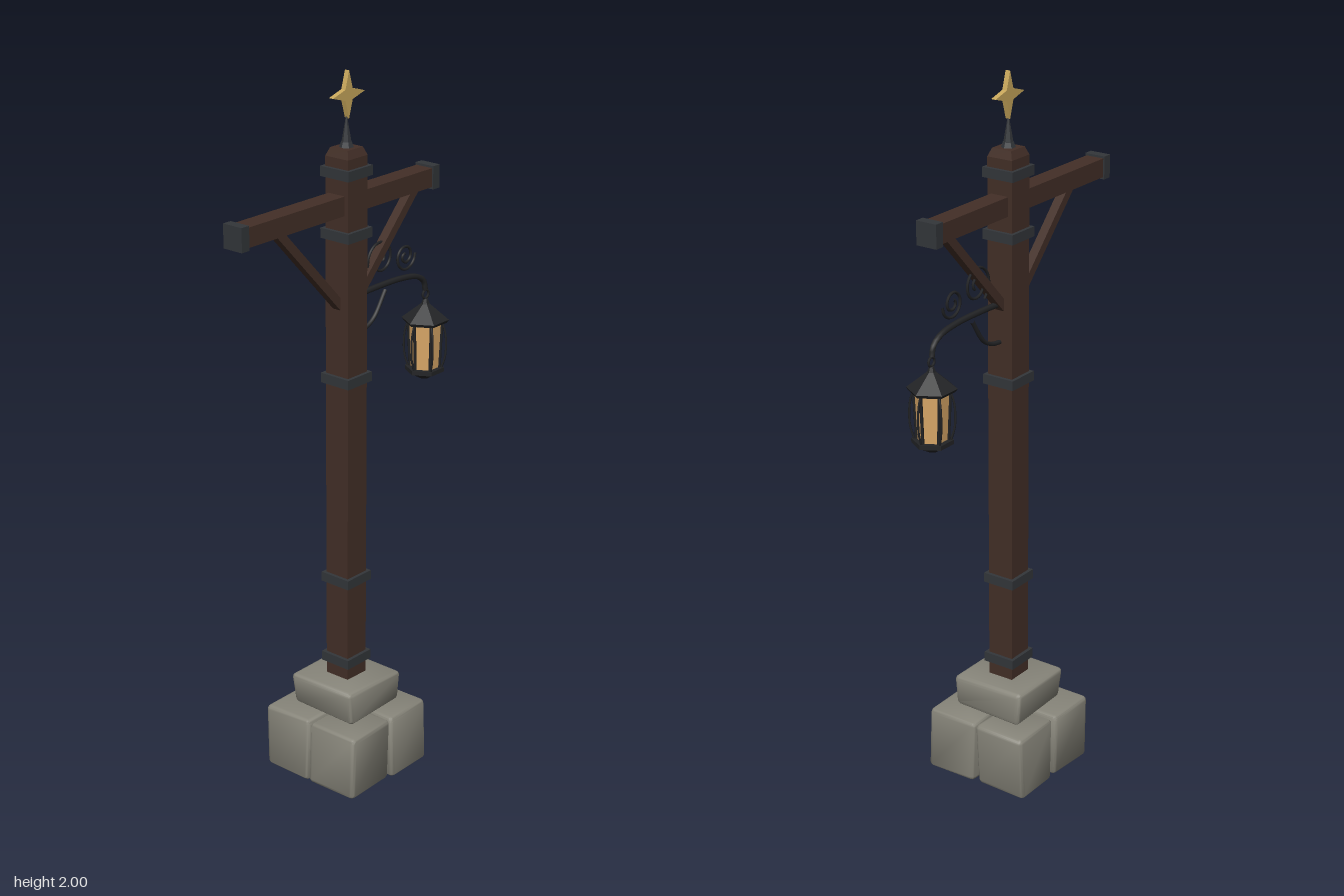
import * as THREE from 'three';
import { RoundedBoxGeometry } from 'three/addons/geometries/RoundedBoxGeometry.js';
import { toCreasedNormals } from 'three/addons/utils/BufferGeometryUtils.js';

const mat = (name, color) => Object.assign(new THREE.MeshStandardMaterial({ color }), { name });
const V = (x, y, z = 0) => new THREE.Vector3(x, y, z);

export function createModel() {
  const wood = mat('darkWood', 0x432f27);
  const stone = mat('stone', 0x87857a);
  const iron = mat('iron', 0x33363a);
  const blackIron = mat('blackIron', 0x232426);
  const glass = mat('amberGlass', 0xd9a868);
  const gold = mat('gold', 0xc9a85c);

  const model = new THREE.Group();
  model.name = 'lampPost';
  const PX = 0.013; // post centre

  function add(name, geo, material, x = 0, y = 0, z = 0, parent = model) {
    const m = new THREE.Mesh(geo, material);
    m.name = name;
    m.position.set(x, y, z);
    parent.add(m);
    return m;
  }
  const flat = (geo) => {
    const g = geo.toNonIndexed();
    g.computeVertexNormals();
    return g;
  };
  // six-sided drum with a corner pointing along x
  const hex = (top, bottom, h, open = false) =>
    flat(new THREE.CylinderGeometry(top, bottom, h, 6, 1, open).rotateY(Math.PI / 2));
  const tube = (pts, r, n = 24, sides = 6) =>
    new THREE.TubeGeometry(new THREE.CatmullRomCurve3(pts), n, r, sides);

  let seed = 7;
  const rnd = () => (seed = (seed * 16807) % 2147483647) / 2147483647 - 0.5;

  // rounded block whose eight corners are nudged a little
  function block(name, x0, x1, y0, y1, z0, z1) {
    const w = x1 - x0, h = y1 - y0, d = z1 - z0;
    const geo = new RoundedBoxGeometry(w, h, d, 2, 0.013);
    const nudge = Array.from({ length: 8 }, () => [rnd() * 0.01, rnd() * 0.006, rnd() * 0.01]);
    const p = geo.attributes.position;
    for (let i = 0; i < p.count; i++) {
      const u = [p.getX(i) / w + 0.5, p.getY(i) / h + 0.5, p.getZ(i) / d + 0.5];
      const o = [p.getX(i), p.getY(i), p.getZ(i)];
      nudge.forEach((n, c) => {
        const k = [0, 1, 2].reduce((s, a) => s * ((c >> a) & 1 ? u[a] : 1 - u[a]), 1);
        n.forEach((v, a) => { o[a] += v * k; });
      });
      p.setXYZ(i, ...o);
    }
    add(name, toCreasedNormals(geo, 0.7), stone, (x0 + x1) / 2, (y0 + y1) / 2, (z0 + z1) / 2);
  }

  // stone footing
  for (const [z0, z1] of [[0.003, 0.16], [-0.16, -0.003]]) {
    block('footingStone', -0.147, 0.014, 0.006, 0.195, z0, z1);
    block('footingStone', 0.022, 0.173, 0.006, 0.195, z0, z1);
  }
  block('plinthStone', -0.092, 0.12, 0.198, 0.292, -0.107, 0.108);

  // post with a chamfered top and iron bands
  add('post', new THREE.BoxGeometry(0.077, 1.5, 0.077), wood, PX, 1.03);
  add('postTop', flat(new THREE.CylinderGeometry(0.042, 0.0544, 0.022, 4).rotateY(Math.PI / 4)), wood, PX, 1.791);
  for (const y of [0.345, 0.59, 1.175, 1.575, 1.74])
    add('postBand', new THREE.BoxGeometry(0.096, 0.027, 0.096), iron, PX, y);

  // crossbeam with capped ends
  add('crossbeam', new THREE.BoxGeometry(0.74, 0.052, 0.054), wood, -0.028, 1.658);
  for (const x of [-0.399, 0.344])
    add('beamCap', new THREE.BoxGeometry(0.027, 0.064, 0.062), iron, x, 1.658);

  // diagonal braces
  for (const s of [-1, 1]) {
    const a = V(PX + s * 0.03, 1.382), b = V(PX + s * 0.272, 1.638);
    const brace = add('brace', new THREE.BoxGeometry(0.024, a.distanceTo(b), 0.026), wood,
      (a.x + b.x) / 2, (a.y + b.y) / 2);
    brace.rotation.z = Math.atan2(a.x - b.x, b.y - a.y);
  }

  // finial: spike and four-pointed star
  add('spikeCollar', hex(0.014, 0.02, 0.016), iron, PX, 1.808);
  add('spike', hex(0.002, 0.014, 0.07), iron, PX, 1.845);
  const star = new THREE.Shape();
  for (let i = 0; i < 8; i++) {
    const r = i % 2 ? 0.02 : 0.062, t = (i * Math.PI) / 4;
    star[i ? 'lineTo' : 'moveTo'](r * Math.cos(t), r * Math.sin(t));
  }
  star.closePath();
  add('star', new THREE.ExtrudeGeometry(star, { depth: 0.014, bevelEnabled: false }).translate(0, 0, -0.007),
    gold, 0.015, 1.938);

  // bracket arm, stay and scrolls
  add('bracketArm', tube([V(0.045, 1.392), V(0.14, 1.395), V(0.24, 1.393), V(0.305, 1.382),
    V(0.335, 1.362), V(0.342, 1.335)], 0.008), blackIron);
  add('bracketStay', tube([V(0.045, 1.285), V(0.09, 1.292), V(0.125, 1.312), V(0.172, 1.378)], 0.006), blackIron);
  function scroll(x, y, radius, start, turns) {
    const pts = Array.from({ length: 25 }, (_, i) => {
      const t = i / 24, r = radius * (1 - 0.8 * t), a = start - t * turns * Math.PI * 2;
      return V(x + r * Math.cos(a), y + r * Math.sin(a));
    });
    add('scroll', tube(pts, 0.004, 64, 5), blackIron);
  }
  scroll(0.152, 1.47, 0.056, Math.PI * 1.3, 1.8);
  scroll(0.255, 1.452, 0.042, Math.PI * 2, 1.7);

  // hanging lantern
  const lantern = new THREE.Group();
  lantern.name = 'lantern';
  lantern.position.x = 0.344;
  model.add(lantern);
  const part = (name, geo, m, y) => add(name, geo, m, 0, y, 0, lantern);
  part('hangingRing', new THREE.TorusGeometry(0.012, 0.0035, 6, 16), blackIron, 1.322);
  part('roofKnob', hex(0.006, 0.012, 0.016), blackIron, 1.302);
  part('roof', hex(0.01, 0.066, 0.045), blackIron, 1.274);
  part('eave', hex(0.066, 0.06, 0.009), blackIron, 1.247);
  part('glassBody', hex(0.046, 0.04, 0.135), glass, 1.177);
  part('basePlate', hex(0.055, 0.055, 0.012), blackIron, 1.106);
  part('baseCone', hex(0.052, 0.014, 0.022), blackIron, 1.09);
  for (let i = 0; i < 6; i++) {
    const side = new THREE.Group();
    side.name = 'lanternCorner';
    side.rotation.y = (i * Math.PI) / 3;
    lantern.add(side);
    add('cornerBar', tube([V(0.041, 1.108), V(0.047, 1.245)], 0.0045, 1, 5), blackIron, 0, 0, 0, side);
    add('bowedBar', tube([V(0.047, 1.11), V(0.057, 1.145), V(0.059, 1.18), V(0.056, 1.215), V(0.047, 1.245)],
      0.003, 12, 5), blackIron, 0, 0, 0, side);
  }
  return model;
}
